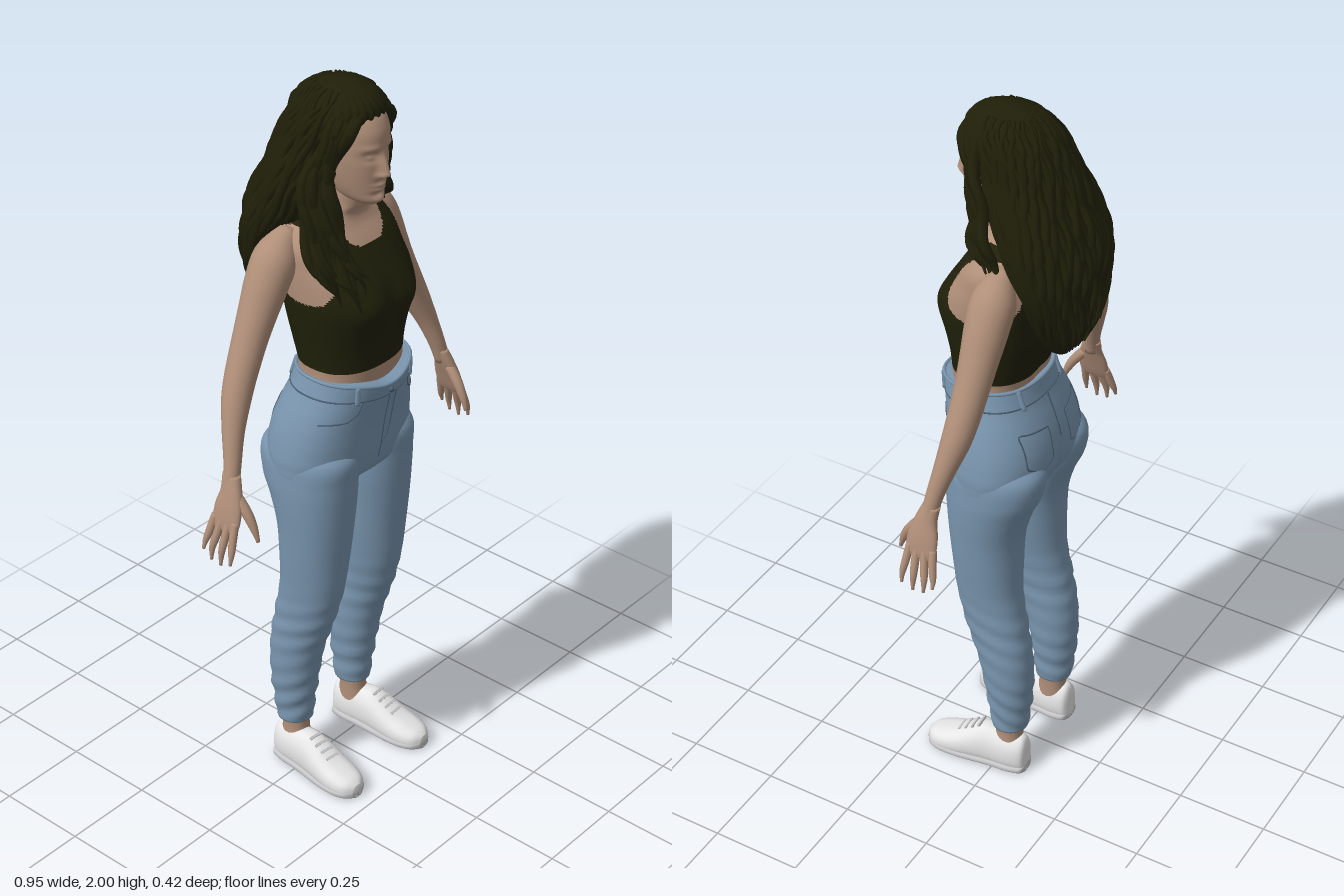
import * as THREE from 'three';

const V = (x, y, z) => new THREE.Vector3(x, y, z);
const mat = (name, color) => Object.assign(new THREE.MeshStandardMaterial({ color }), { name });
const skin = mat('skin', 0xb08f79), denim = mat('denim', 0x7a96af), seamColor = mat('seam', 0x4c6073);
const topColor = mat('knit top', 0x20200a), hairColor = mat('hair', 0x1f1f09);
const white = mat('shoe white', 0xe6e6e6), grey = mat('sole grey', 0xc4c4c6);

let seed = 7;
const rnd = () => (seed = (seed * 16807) % 2147483647) / 2147483647;
const gauss = (d, s) => Math.exp(-(d * d) / (s * s));
const spow = (c, p) => Math.sign(c) * Math.abs(c) ** p;

// Smooth interpolation through rows of numbers, t from 0 to 1
function sample(rows, t) {
  const u = t * (rows.length - 1), i = Math.min(Math.floor(u), rows.length - 2), f = u - i;
  const at = k => rows[Math.max(0, Math.min(rows.length - 1, k))];
  return rows[i].map((b, c) => {
    const a = at(i - 1)[c], d = at(i + 1)[c], e = at(i + 2)[c];
    return b + 0.5 * f * (d - a + f * (2 * a - 5 * b + 4 * d - e + f * (3 * (b - d) + e - a)));
  });
}

// Skin over closed rings, with both ends capped
function skinRings(rings) {
  const n = rings[0].length, pts = rings.flat(), idx = [];
  for (let i = 0; i < rings.length - 1; i++) for (let j = 0; j < n; j++) {
    const a = i * n + j, b = i * n + (j + 1) % n;
    idx.push(a, b, a + n, b, b + n, a + n);
  }
  for (const last of [false, true]) {
    const ring = last ? rings[rings.length - 1] : rings[0], o = last ? (rings.length - 1) * n : 0;
    const c = ring.reduce((s, p) => s.add(p), V(0, 0, 0)).divideScalar(n);
    pts.push(c);
    for (let j = 0; j < n; j++) {
      const a = o + j, b = o + (j + 1) % n;
      if (last) idx.push(a, b, pts.length - 1);
      else idx.push(b, a, pts.length - 1);
    }
  }
  const g = new THREE.BufferGeometry().setFromPoints(pts);
  g.setIndex(idx);
  g.computeVertexNormals();
  return g;
}

// Body section row: [y, centre x, half width, front z, back z]
function rowPoint([y, cx, w, zf, zb], a, n) {
  return V(cx + w * spow(Math.cos(a), 2 / n), y, (zf + zb) / 2 - (zf - zb) / 2 * spow(Math.sin(a), 2 / n));
}
function body(rows, segs, steps, n = 2.2, tweak = () => {}) {
  const rings = [];
  for (let i = 0; i <= steps; i++) {
    const row = sample(rows, i / steps), ring = [];
    for (let j = 0; j < segs; j++) {
      const a = j / segs * Math.PI * 2, p = rowPoint(row, a, n);
      tweak(p, a);
      ring.push(p);
    }
    rings.push(ring);
  }
  return skinRings(rings);
}

// Tapered tube along points
function limb(points, radii, segs, steps) {
  const curve = new THREE.CatmullRomCurve3(points), f = curve.computeFrenetFrames(steps), rings = [];
  for (let i = 0; i <= steps; i++) {
    const c = curve.getPointAt(i / steps), r = sample(radii.map(q => [q]), i / steps)[0], ring = [];
    for (let j = 0; j < segs; j++) {
      const a = j / segs * Math.PI * 2;
      ring.push(c.clone().addScaledVector(f.normals[i], r * Math.cos(a)).addScaledVector(f.binormals[i], r * Math.sin(a)));
    }
    rings.push(ring);
  }
  return skinRings(rings);
}

function mirror(g) {
  const m = g.clone().scale(-1, 1, 1), ix = m.index.array;
  for (let i = 0; i < ix.length; i += 3) [ix[i], ix[i + 1]] = [ix[i + 1], ix[i]];
  return m;
}

export function createModel() {
  const model = new THREE.Group();
  const add = (name, g, m) => { const o = new THREE.Mesh(g, m); o.name = name; model.add(o); };
  const pair = (name, g, m) => { add(name + 'Left', g, m); add(name + 'Right', mirror(g), m); };

  // Head with modelled nose, eyes and lips
  const headRows = [[1.7, 0, 0.022, 0.132, 0.07], [1.715, 0, 0.042, 0.145, 0.02], [1.74, 0, 0.057, 0.146, -0.02], [1.78, 0, 0.069, 0.15, -0.05],
    [1.82, 0, 0.076, 0.154, -0.07], [1.86, 0, 0.078, 0.156, -0.08], [1.9, 0, 0.077, 0.153, -0.08], [1.94, 0, 0.066, 0.13, -0.06], [1.975, 0, 0.03, 0.08, -0.01]];
  add('head', body(headRows, 100, 76, 2.15, p => {
    if (p.z < 0.07) return;
    const x = Math.abs(p.x), y = p.y;
    const ridge = y < 1.787 ? gauss(y - 1.787, 0.01) : Math.max(0, 1 - (y - 1.787) / 0.065);
    p.z += 0.026 * ridge * gauss(x, 0.009 + 0.005 * ridge) + 0.008 * gauss(x - 0.014, 0.007) * gauss(y - 1.782, 0.009);
    p.z += -0.011 * gauss(x - 0.031, 0.019) * gauss(y - 1.836, 0.013) + 0.007 * gauss(x - 0.032, 0.011) * gauss(y - 1.834, 0.006);
    p.z += 0.004 * gauss(x - 0.034, 0.022) * gauss(y - 1.858, 0.008);
    p.z += 0.008 * gauss(x, 0.021) * (gauss(y - 1.757, 0.005) + gauss(y - 1.745, 0.006)) - 0.004 * gauss(x, 0.02) * gauss(y - 1.732, 0.006);
    p.z += 0.006 * gauss(x, 0.02) * gauss(y - 1.715, 0.01);
  }), skin);
  pair('ear', new THREE.SphereGeometry(1, 16, 12).scale(0.01, 0.03, 0.018).rotateY(0.3).translate(0.077, 1.81, 0.035), skin);

  // Torso and neck; the sleeveless top is the covered part of the same surface
  const torsoRows = [[1.2, 0, 0.145, 0.16, -0.05], [1.26, 0, 0.14, 0.165, -0.055], [1.32, 0, 0.147, 0.17, -0.07], [1.39, 0, 0.158, 0.182, -0.088],
    [1.45, 0, 0.166, 0.19, -0.1], [1.5, 0, 0.169, 0.176, -0.11], [1.55, 0, 0.169, 0.147, -0.115], [1.6, 0, 0.165, 0.115, -0.11],
    [1.637, 0, 0.135, 0.088, -0.095], [1.662, 0, 0.085, 0.08, -0.07], [1.685, 0, 0.058, 0.088, -0.04], [1.72, 0, 0.053, 0.09, -0.035], [1.77, 0, 0.052, 0.085, -0.035]];
  const torso = body(torsoRows, 128, 100, 2.35, p => {
    const x = Math.abs(p.x);
    if (p.z > 0.05) p.z += 0.013 * gauss(x - 0.075, 0.055) * gauss(p.y - 1.445, 0.05) - 0.004 * gauss(x, 0.02) * gauss(p.y - 1.46, 0.05);
    else if (p.z < -0.03) p.z += 0.008 * gauss(x, 0.03) * gauss(p.y - 1.4, 0.15);
  });
  const covered = c => {
    const x = Math.abs(c.x);
    const neckline = (c.z > 0 ? 1.592 : 1.615) + 0.07 * (x / 0.088) ** 4;
    const armhole = c.y < 1.46 ? 1 : 0.128 + 0.042 * Math.max(0, (1.56 - c.y) / 0.1) ** 2;
    return c.y > 1.272 && c.y < 1.66 && c.y < neckline && x < armhole;
  };
  const bare = [], cloth = [], ti = torso.index.array, tp = torso.attributes.position;
  for (let i = 0; i < ti.length; i += 3) {
    const c = V(0, 0, 0);
    for (let k = 0; k < 3; k++) c.add(V(0, 0, 0).fromBufferAttribute(tp, ti[i + k]));
    (covered(c.divideScalar(3)) ? cloth : bare).push(ti[i], ti[i + 1], ti[i + 2]);
  }
  torso.setIndex([...bare, ...cloth]);
  torso.addGroup(0, bare.length, 0);
  torso.addGroup(bare.length, cloth.length, 1);
  add('torsoWithTop', torso, [skin, topColor]);

  // Arms and hands
  pair('arm', limb([V(0.125, 1.625, -0.03), V(0.16, 1.595, -0.03), V(0.198, 1.54, -0.03), V(0.235, 1.47, -0.03), V(0.285, 1.37, -0.028), V(0.335, 1.265, -0.02),
    V(0.37, 1.18, -0.003), V(0.395, 1.1, 0.015), V(0.41, 1.045, 0.023)], [0.025, 0.055, 0.055, 0.049, 0.044, 0.041, 0.037, 0.029, 0.023, 0.02], 28, 44), skin);
  pair('palm', body([[0.94, 0.443, 0.008, 0.064, -0.008], [0.96, 0.438, 0.013, 0.072, -0.013], [1.0, 0.427, 0.017, 0.07, -0.012],
    [1.04, 0.414, 0.019, 0.058, -0.003], [1.08, 0.402, 0.019, 0.042, -0.006]], 24, 16), skin);
  [[-0.005, -0.02, 0.875], [0.018, 0.006, 0.855], [0.04, 0.037, 0.851], [0.06, 0.069, 0.863]].forEach(([z0, z1, tip], i) =>
    pair('finger' + (i + 1), limb([V(0.438, 0.97, z0), V(0.453, 0.925, (z0 + z1) / 2), V(0.464, 0.89, z1), V(0.469, tip, z1)], [0.01, 0.0105, 0.009, 0.004], 10, 14), skin));
  pair('thumb', limb([V(0.414, 1.03, 0.045), V(0.411, 0.985, 0.08), V(0.409, 0.945, 0.1), V(0.408, 0.92, 0.108)], [0.014, 0.014, 0.011, 0.005], 10, 14), skin);

  // Jeans: hips and legs
  const hipRows = [[0.915, 0, 0.1, 0.07, -0.05], [0.95, 0, 0.2, 0.132, -0.095], [1.0, 0, 0.213, 0.15, -0.119], [1.05, 0, 0.208, 0.158, -0.121], [1.1, 0, 0.197, 0.165, -0.112],
    [1.15, 0, 0.181, 0.174, -0.095], [1.2, 0, 0.162, 0.183, -0.075], [1.25, 0, 0.148, 0.19, -0.062]];
  const dip = p => { if (p.y > 1.15) p.y -= 0.026 * (p.y - 1.15) / 0.1 * Math.max(0, p.z / 0.19) * gauss(p.x, 0.09); };
  add('jeansHips', body(hipRows, 72, 40, 2.3, p => {
    if (p.z < 0) p.z += 0.016 * gauss(p.x, 0.018) * gauss(p.y - 0.99, 0.08);
    dip(p);
  }), denim);
  const legRows = [[0.15, 0.118, 0.047, 0.015, -0.085], [0.2, 0.119, 0.051, 0.02, -0.091], [0.3, 0.12, 0.061, 0.035, -0.1], [0.4, 0.121, 0.065, 0.056, -0.098],
    [0.5, 0.12, 0.068, 0.09, -0.082], [0.6, 0.116, 0.075, 0.115, -0.064], [0.7, 0.113, 0.086, 0.126, -0.061], [0.8, 0.111, 0.095, 0.135, -0.066],
    [0.88, 0.109, 0.103, 0.141, -0.088], [0.95, 0.108, 0.106, 0.146, -0.117], [1.02, 0.105, 0.1, 0.148, -0.12], [1.07, 0.1, 0.06, 0.1, -0.06]];
  pair('jeansLeg', body(legRows, 40, 70, 2.1, (p, a) => {
    const folds = 0.0035 * (gauss(p.y - 0.24, 0.09) + 0.7 * gauss(p.y - 0.48, 0.09)) * Math.sin(p.y * 95 + 2 * Math.sin(a) + a);
    p.x += folds * Math.cos(a);
    p.z -= folds * Math.sin(a);
  }), denim);

  // Jeans seams, laid on the hip surface
  const hipAt = y => {
    let i = 0;
    while (i < hipRows.length - 2 && hipRows[i + 1][0] < y) i++;
    const f = (y - hipRows[i][0]) / (hipRows[i + 1][0] - hipRows[i][0]);
    return hipRows[i].map((v, c) => v + f * (hipRows[i + 1][c] - v));
  };
  const onHip = (x, y, front) => {
    const [, , w, zf, zb] = hipAt(y), d = Math.max(0, 1 - (Math.abs(x) / w) ** 2.3) ** (1 / 2.3);
    const p = V(x, y, (zf + zb) / 2 + (front ? 1 : -1) * (zf - zb) / 2 * d);
    dip(p);
    return p;
  };
  const seam = (pts, front) => {
    const line = [];
    for (let i = 0; i < pts.length - 1; i++) for (let k = 0; k < 4; k++)
      line.push(onHip(pts[i][0] + (pts[i + 1][0] - pts[i][0]) * k / 4, pts[i][1] + (pts[i + 1][1] - pts[i][1]) * k / 4, front));
    line.push(onHip(...pts[pts.length - 1], front));
    return new THREE.TubeGeometry(new THREE.CatmullRomCurve3(line), 40, 0.0024, 5);
  };
  add('flySeam', seam([[0, 1.2], [0, 1.1], [0, 0.99]], true), seamColor);
  add('flyStitch', seam([[0.026, 1.2], [0.026, 1.09], [0.018, 1.05], [0, 1.035]], true), seamColor);
  add('backSeam', seam([[0, 1.2], [0, 1.13], [0, 1.08]], false), seamColor);
  pair('frontPocket', seam([[0.085, 1.2], [0.095, 1.165], [0.12, 1.145], [0.172, 1.14]], true), seamColor);
  pair('backPocket', seam([[0.04, 1.13], [0.13, 1.14], [0.132, 1.05], [0.09, 1.02], [0.045, 1.04], [0.04, 1.13]], false), seamColor);
  for (const [name, y, r, m] of [['waistbandSeam', 1.203, 0.0022, seamColor], ['waistbandEdge', 1.249, 0.005, denim]]) {
    const ring = [];
    for (let j = 0; j < 48; j++) { const p = rowPoint(hipAt(y), j / 48 * Math.PI * 2, 2.3); dip(p); ring.push(p); }
    add(name, new THREE.TubeGeometry(new THREE.CatmullRomCurve3(ring, true), 96, r, 6, true), m);
  }
  for (const [name, x, front] of [['frontBeltLoop', 0.1, true], ['backBeltLoop', 0.09, false]])
    pair(name, limb([onHip(x, 1.195, front), onHip(x, 1.225, front), onHip(x, 1.25, front)], [0.007, 0.007, 0.007], 6, 6), denim);
  add('button', new THREE.SphereGeometry(0.008, 12, 8).translate(0, 1.204, 0.187), seamColor);

  // Ankles and sneakers
  pair('ankle', body([[0.07, 0.12, 0.036, 0.015, -0.075], [0.12, 0.118, 0.033, 0.005, -0.07], [0.17, 0.118, 0.036, 0.005, -0.072]], 24, 10), skin);
  const shoeRows = [[-0.09, 0.018, 0.085], [-0.08, 0.034, 0.112], [-0.045, 0.042, 0.116], [0, 0.043, 0.118], [0.04, 0.046, 0.12], [0.08, 0.05, 0.1],
    [0.12, 0.052, 0.077], [0.16, 0.049, 0.062], [0.19, 0.037, 0.051], [0.207, 0.014, 0.038]];
  const alongFoot = (widen, height) => {
    const rings = [];
    for (let i = 0; i <= 36; i++) {
      const [z, w, h] = sample(shoeRows, i / 36), ring = [], hh = height || h;
      for (let j = 0; j < 32; j++) {
        const a = j / 32 * Math.PI * 2, s = Math.sin(a);
        const taper = height ? 1 : 1 - 0.3 * Math.max(0, s) * Math.min(1, h / 0.12);
        ring.push(V((w + widen) * taper * spow(Math.cos(a), 0.7), hh / 2 + hh / 2 * spow(s, 0.7), z));
      }
      rings.push(ring);
    }
    return skinRings(rings);
  };
  const placeShoe = g => g.rotateY(0.07).translate(0.126, 0, 0);
  pair('shoeUpper', placeShoe(alongFoot(0, 0)), white);
  pair('shoeSole', placeShoe(alongFoot(0.003, 0.026)), grey);
  for (let i = 0; i < 4; i++)
    pair('lace' + (i + 1), placeShoe(new THREE.BoxGeometry(0.042, 0.006, 0.007).rotateX(0.5).translate(0, 0.119 - i * 0.013, 0.049 + i * 0.02)), grey);

  // Hair mass with ridged waves
  const hairRows = [[1.385, -0.01, 0.07, -0.14, -0.165], [1.42, -0.01, 0.115, -0.115, -0.18], [1.5, -0.01, 0.15, -0.085, -0.185], [1.58, -0.008, 0.168, -0.05, -0.19],
    [1.65, -0.008, 0.17, 0.0, -0.188], [1.72, -0.006, 0.16, 0.045, -0.172], [1.79, -0.006, 0.142, 0.075, -0.145], [1.85, -0.003, 0.12, 0.09, -0.122],
    [1.905, -0.002, 0.109, 0.125, -0.105], [1.945, 0, 0.092, 0.14, -0.085], [1.978, 0, 0.063, 0.115, -0.05], [1.993, 0, 0.032, 0.075, -0.01], [1.998, 0, 0.006, 0.04, 0.025]];
  add('hairMass', body(hairRows, 120, 56, 2.1, (p, a) => {
    const k = 0.0045 * Math.min(1, (2.0 - p.y) / 0.1) * Math.sin(a * 30 + 2.2 * Math.sin(p.y * 48));
    p.x += k * Math.cos(a);
    p.z -= k * Math.sin(a);
  }), hairColor);

  // Wavy locks over the back and sides
  for (let i = 0; i < 44; i++) {
    const a0 = -0.25 + (Math.PI + 0.5) * i / 43, end = 0.02 + rnd() * 0.16, ph = rnd() * 6, pts = [];
    for (let k = 0; k <= 16; k++) {
      const t = 0.86 + (end - 0.86) * k / 16;
      const p = rowPoint(sample(hairRows, t), a0 + 0.05 * Math.sin(k * 1.3 + ph), 2.1);
      p.z += 0.006 * Math.cos(k * 1.3 + ph);
      pts.push(p);
    }
    add('backLock', limb(pts, [0.004, 0.01, 0.012, 0.013, 0.011, 0.003], 6, 34), hairColor);
  }

  // Locks framing the face: long over the right of the chest, short on the left
  const lock = (name, pts, r, wave) => {
    const c = new THREE.CatmullRomCurve3(pts), ph = rnd() * 6;
    const wavy = c.getPoints(16).map((p, k) => p.add(V(Math.sin(k * 1.3 + ph), 0, Math.cos(k * 1.3 + ph)).multiplyScalar(wave * Math.min(1, k / 6))));
    add(name, limb(wavy, [r * 0.5, r, r, r * 1.05, r * 0.9, r * 0.2], 7, 36), hairColor);
  };
  for (let i = 0; i < 10; i++) {
    const f = i / 9, low = 1.45 + 0.07 * Math.abs(f - 0.35) + rnd() * 0.06;
    lock('rightFrontLock', [V(-0.01 - 0.03 * f, 1.965, 0.12 - 0.04 * f), V(-0.062 - 0.03 * f, 1.92, 0.122 - 0.05 * f), V(-0.093 - 0.03 * f, 1.84, 0.085 - 0.03 * f),
      V(-0.108 - 0.05 * f, 1.75, 0.085 - 0.05 * f), V(-0.11 - 0.065 * f, 1.65, 0.115 - 0.05 * f), V(-0.092 - 0.085 * f, 1.56, 0.162 - 0.06 * f), V(-0.085 - 0.07 * f, low, 0.19 - 0.05 * f)], 0.014, 0.007);
  }
  for (let i = 0; i < 8; i++) {
    const f = i / 7;
    lock('leftFrontLock', [V(0.012 + 0.03 * f, 1.965, 0.12 - 0.04 * f), V(0.06 + 0.03 * f, 1.92, 0.122 - 0.05 * f), V(0.092 + 0.022 * f, 1.84, 0.085 - 0.03 * f),
      V(0.105 + 0.04 * f, 1.75, 0.07 - 0.05 * f), V(0.125 + 0.035 * f, 1.67, 0.065 - 0.07 * f), V(0.145 + 0.02 * f, 1.61 + rnd() * 0.03, 0.04 - 0.09 * f)], 0.014, 0.006);
  }
  return model;
}
